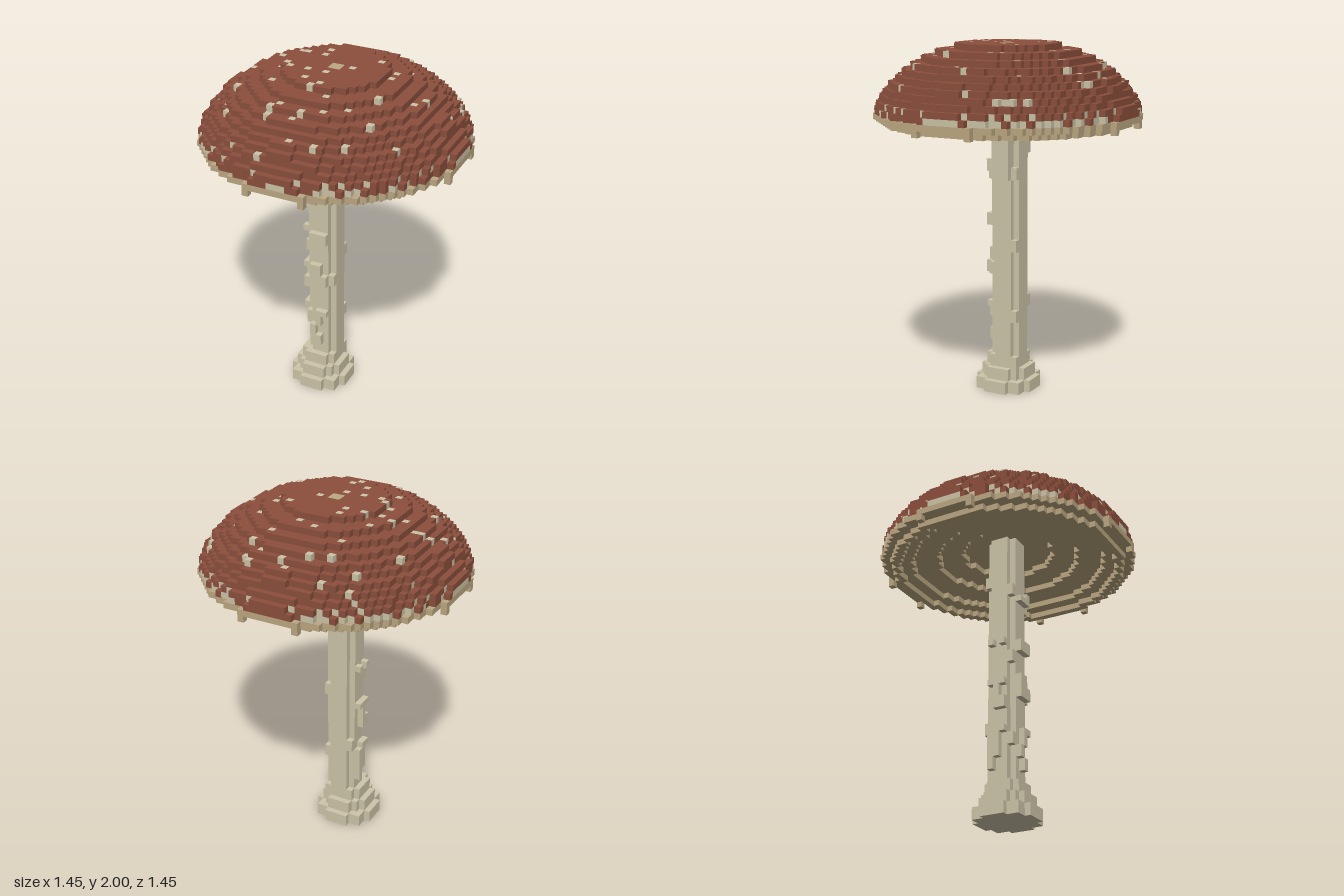
import * as THREE from 'three';

const UNIT = 2 / 58;   // cube size
const CAP_Y = 45;      // first cap layer
const CAP_LAYERS = 13;

const makeMat = (name, color) => Object.assign(new THREE.MeshStandardMaterial({ color }), { name });

// Small repeatable hash in 0..1
function hash(a, b, c) {
  const s = Math.sin(a * 127.1 + b * 311.7 + c * 74.7) * 43758.5453;
  return s - Math.floor(s);
}

// Cap spots as [x, z] cells
const SPOTS = [
  [-7, -17], [-1, -17], [0, -16], [5, -17], [6, -16], [-11, -16], [-11, -14], [-7, -14], [-4, -15], [4, -15],
  [6, -14], [4, -12], [-7, -11], [-2, -10], [1, -9], [-15, -8], [-4, -6], [-9, -6], [-7, -4], [-4, -4],
  [5, -5], [9, -7], [8, -4], [8, -2], [12, -9], [17, -8], [17, -3], [14, -1], [13, 1], [-11, -3],
  [-9, -2], [-14, -1], [-15, -1], [-12, 0], [-16, 0], [-9, 1], [-8, 1], [-7, 2], [-4, 2], [2, -1],
  [0, 0], [-1, 2], [-3, 5], [-8, 6], [0, 6], [-1, 7], [2, 8], [9, 5], [6, 9], [10, 10],
  [14, 10], [-17, 3], [-14, 6], [-17, 6], [-14, 9], [-13, 11], [-4, 11], [3, 11], [-5, 12], [-5, 13],
  [-1, 13], [0, 12], [8, 14], [0, 16], [4, 16], [-4, 18], [15, -12], [16, -10],
];

// Radius of the hollow under the cap, per layer
const HOLLOW = [18.2, 16.2, 11.8, 7.6];

// Height ranges of the bark bumps on the right and front of the stem
const RIGHT_BUMPS = [[4, 6], [8, 15], [18, 23], [29, 30]];
const FRONT_BUMPS = [[8, 15], [20, 24], [28, 32], [37, 39]];
const within = (ranges, y) => ranges.some(([a, b]) => y >= a && y < b);

export function createModel() {
  const parts = {
    stem: { mat: makeMat('pale stem', 0xcec6aa), cells: [] },
    capTop: { mat: makeMat('brick red cap', 0x8c4f3d), cells: [] },
    capRim: { mat: makeMat('tan gills', 0xbca882), cells: [] },
    capSpots: { mat: makeMat('cream spots', 0xcdc4a8), cells: [] },
  };
  const filled = new Set();
  const key = (x, y, z) => `${x},${y},${z}`;
  const put = (part, x, y, z) => {
    const k = key(x, y, z);
    if (filled.has(k)) return;
    filled.add(k);
    parts[part].cells.push([x, y, z]);
  };

  // Stem with a stepped foot and scattered bark bumps
  const isBump = (dx, dz, y) => {
    if (dx === 3) return y >= 36 && Math.abs(dz) < 2;
    if (dx === -3) return Math.abs(dz) < 2 && within(RIGHT_BUMPS, y) && hash(dz, y >> 1, 3) < 0.65;
    if (dz === 3) return Math.abs(dx) < 2 && within(FRONT_BUMPS, y) && hash(dx, y >> 1, 7) < 0.65;
    return Math.abs(dx) === 2 && Math.abs(dz) === 2 && hash(dx * 3 + dz, y >> 1, 5) < 0.15;
  };
  for (let y = 0; y < CAP_Y + HOLLOW.length; y++) {
    const foot = y < 2 ? 5 : y < 4 ? 4 : y < 6 ? 3.1 : 0;
    for (let x = -8; x < 5; x++) {
      for (let z = -6; z < 8; z++) {
        const dx = x + 2;
        const core = dx * dx + z * z <= 6;
        const inFoot = Math.hypot(x + 2.5, z - 0.5) < foot;
        if (core || inFoot || isBump(dx, z, y)) put('stem', x, y, z);
      }
    }
  }

  // Domed cap, hollow below
  const RIM_RADII = [19.45, 21.05, 20.8, 20.7];
  const capRadius = (j) => RIM_RADII[j] ?? 21.2 * Math.sqrt(1 - ((j + 0.5) / 13.5) ** 2);
  const spotSet = new Set(SPOTS.map(([x, z]) => `${x},${z}`));
  for (let x = -21; x < 21; x++) {
    for (let z = -21; z < 21; z++) {
      const r = Math.hypot(x + 0.5, z + 0.5);
      const angle = Math.atan2(z + 0.5, x + 0.5);
      for (let j = 0; j < CAP_LAYERS; j++) {
        const hollow = HOLLOW[j] ?? 0;
        if (r > capRadius(j) || r < hollow) continue;
        const topCell = j === CAP_LAYERS - 1 || r > capRadius(j + 1);
        const gill = j < 2 || r < hollow + 1.5 || r < (HOLLOW[j - 1] ?? 0);
        // Ragged cream band sheltered under the red edge
        const patch = hash(Math.floor(angle * 5.5), j, 2);
        const cream = !topCell && (j === 2 ? patch < 0.75 : j === 3 ? patch < 0.75
          : j < 6 && hash(x, z, j) < 0.15);
        const spot = j > 1 && topCell && spotSet.has(`${x},${z}`);
        put(gill ? 'capRim' : cream || spot ? 'capSpots' : 'capTop', x, CAP_Y + j, z);
      }
    }
  }

  // Eight drips hanging from the rim
  for (const a of [-21, 20]) {
    for (const b of [-5, 4]) {
      put('capRim', a, CAP_Y, b);
      put('capRim', b, CAP_Y, a);
    }
  }

  // Emit only the exposed cube faces
  const buildCubes = (cells) => {
    const pos = [], nor = [];
    for (const c of cells) {
      for (let d = 0; d < 3; d++) {
        for (const s of [-1, 1]) {
          const n = [0, 0, 0];
          n[d] = s;
          if (filled.has(key(c[0] + n[0], c[1] + n[1], c[2] + n[2]))) continue;
          const u = (d + 1) % 3, v = (d + 2) % 3;
          const corner = (a, b) => {
            const p = [...c];
            p[d] += s > 0 ? 1 : 0;
            p[u] += a;
            p[v] += b;
            return p.map((t) => t * UNIT);
          };
          const q = [corner(0, 0), corner(1, 0), corner(1, 1), corner(0, 1)];
          if (s < 0) q.reverse();
          for (const i of [0, 1, 2, 0, 2, 3]) {
            pos.push(...q[i]);
            nor.push(...n);
          }
        }
      }
    }
    const g = new THREE.BufferGeometry();
    g.setAttribute('position', new THREE.Float32BufferAttribute(pos, 3));
    g.setAttribute('normal', new THREE.Float32BufferAttribute(nor, 3));
    return g;
  };

  const group = new THREE.Group();
  group.name = 'mushroom';
  for (const [name, { mat, cells }] of Object.entries(parts)) {
    const mesh = new THREE.Mesh(buildCubes(cells), mat);
    mesh.name = name;
    group.add(mesh);
  }
  return group;
}
